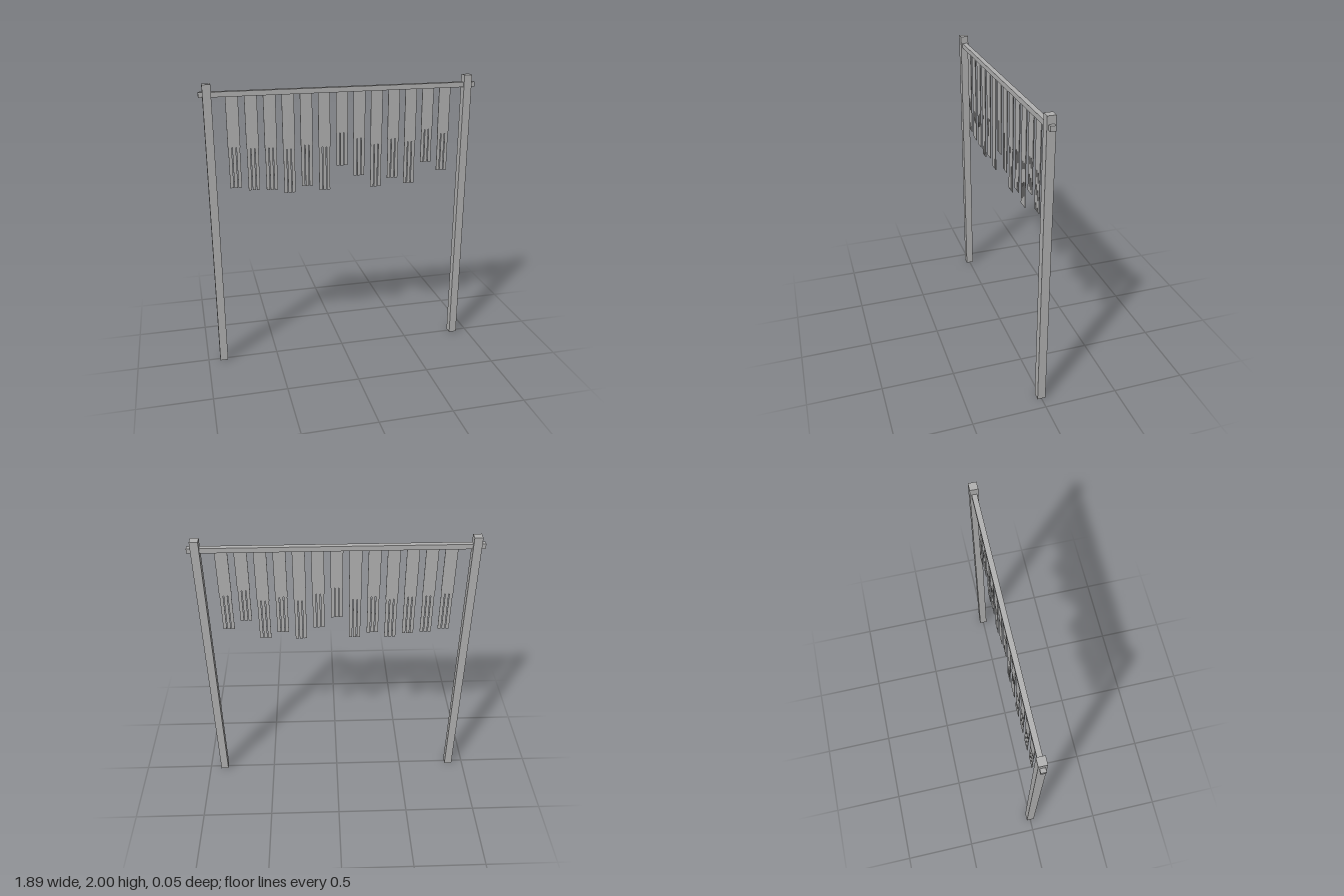
import * as THREE from 'three';

export function createModel() {
  const model = new THREE.Group();
  model.name = 'hangingStripFrame';
  const grey = new THREE.MeshStandardMaterial({ color: 0xb0b0b0 });
  grey.name = 'plain grey';

  function box(parent, name, w, h, d, x, y) {
    const mesh = new THREE.Mesh(new THREE.BoxGeometry(w, h, d), grey);
    mesh.name = name;
    mesh.position.set(x, y, 0);
    parent.add(mesh);
  }

  // Two square posts
  box(model, 'leftPost', 0.055, 2, 0.055, 0.89, 1);
  box(model, 'rightPost', 0.055, 2, 0.055, -0.89, 1);

  // Crossbar passing through both posts
  box(model, 'crossbar', 1.888, 0.034, 0.034, 0, 1.933);

  // Hanging strips: bottom height of each, from the model's right to its left
  const bottoms = [1.298, 1.274, 1.266, 1.237, 1.277, 1.24, 1.407,
    1.327, 1.237, 1.293, 1.245, 1.393, 1.327];
  const top = 1.918, spacing = 0.1222, width = 0.082;
  bottoms.forEach((bottom, i) => {
    const strip = new THREE.Group();
    strip.name = 'hangingStrip' + (i + 1);
    strip.position.x = (i - 6) * spacing;

    // Solid upper panel, a little over half the length
    const split = top - (top - bottom) * 0.55;
    box(strip, 'panel', width, top - split, 0.006, 0, (top + split) / 2);

    // Three narrow tails below it
    for (const k of [-1, 0, 1]) {
      box(strip, 'tail', 0.0225, split - bottom, 0.004, k * 0.0273, (split + bottom) / 2);
    }
    model.add(strip);
  });
  return model;
}
